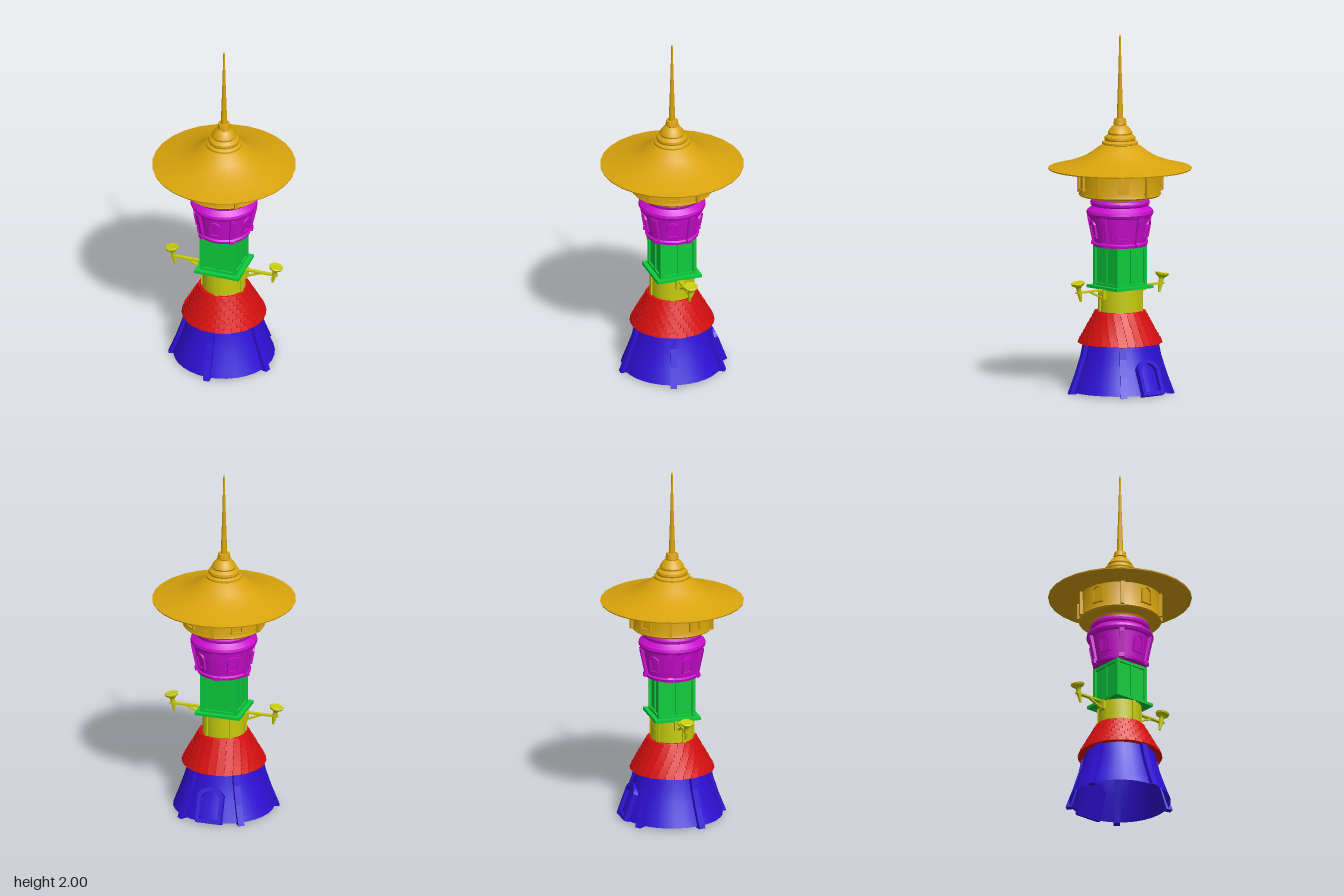
import * as THREE from 'three';
import { mergeGeometries, toCreasedNormals } from 'three/addons/utils/BufferGeometryUtils.js';

const mat = (color) => new THREE.MeshStandardMaterial({ color, side: THREE.DoubleSide });
const BLUE = mat(0x3010d8), RED = mat(0xdd1010), YELLOW = mat(0xc8cc0c);
const GREEN = mat(0x0ccc3c), MAGENTA = mat(0xcc0cd0), GOLD = mat(0xd9a40c);

function add(parent, name, geometry, material) {
  const mesh = new THREE.Mesh(geometry, material);
  mesh.name = name;
  parent.add(mesh);
  return mesh;
}

// Turned solid from [radius, height] pairs, listed from the bottom up
function turned(points, sides = 30) {
  const g = new THREE.LatheGeometry(points.map(([r, y]) => new THREE.Vector2(r, y)), sides);
  return toCreasedNormals(g, 0.5);
}

function box(w, h, d, x, y, z) {
  return new THREE.BoxGeometry(w, h, d).translate(x, y, z);
}

// Upright slab whose outline is drawn in [radius, height], facing +z
function fin(points, width) {
  const shape = new THREE.Shape(points.map(([r, y]) => new THREE.Vector2(r, y)));
  return new THREE.ExtrudeGeometry(shape, { depth: width, bevelEnabled: false })
    .translate(0, 0, -width / 2).rotateY(-Math.PI / 2);
}

// Arch outline standing on y = 0
function arch(Type, half, height, bottom = 0) {
  const s = new Type();
  s.moveTo(-half, bottom);
  s.lineTo(half, bottom);
  s.lineTo(half, height * 0.78);
  s.quadraticCurveTo(half * 0.8, height * 0.95, 0, height);
  s.quadraticCurveTo(-half * 0.8, height * 0.95, -half, height * 0.78);
  s.closePath();
  return s;
}

// Raised arched surround with a recessed panel, leaned and set at a radius
function archedFrame(half, height, border, depth, lean, y, radius) {
  const outer = arch(THREE.Shape, half, height);
  outer.holes.push(arch(THREE.Path, half - border, height - border, border));
  const frame = new THREE.ExtrudeGeometry(outer, { depth, bevelEnabled: false, curveSegments: 5 });
  const panel = new THREE.ExtrudeGeometry(arch(THREE.Shape, half - border / 2, height - border / 2),
    { depth: depth * 0.4, bevelEnabled: false, curveSegments: 5 });
  return mergeGeometries([frame, panel]).rotateX(lean).translate(0, y, radius);
}

// Repeat one geometry around the axis at five equal angles
function five(geometry, offset = 0) {
  return mergeGeometries(Array.from({ length: 5 }, (_, i) =>
    geometry.clone().rotateY(offset + i * Math.PI * 0.4)));
}

function buildBase(root) {
  const g = new THREE.Group();
  g.name = 'base';
  root.add(g);
  add(g, 'baseWall', turned([[0.283, 0.01], [0.26, 0.07], [0.235, 0.14], [0.212, 0.21], [0.195, 0.29]], 32), BLUE);
  add(g, 'baseRibs', five(fin([[0.27, 0], [0.308, 0], [0.265, 0.11], [0.232, 0.21], [0.215, 0.29], [0.18, 0.29]], 0.036)), BLUE);
  add(g, 'doorway', archedFrame(0.075, 0.205, 0.022, 0.035, -0.35, 0, 0.266).rotateY(Math.PI), BLUE);
}

function buildShingles(root) {
  const g = new THREE.Group();
  g.name = 'shingleSkirt';
  root.add(g);
  add(g, 'skirtCore', turned([[0.19, 0.282], [0.228, 0.282], [0.132, 0.455], [0.1, 0.455]], 32), RED);
  const rows = 8, slope = Math.atan2(0.096, 0.173), tiles = [];
  for (let row = 0; row < rows; row++) {
    const t = (row + 0.5) / rows, radius = 0.232 - t * 0.096, y = 0.28 + t * 0.173;
    const count = 30 - row;
    for (let i = 0; i < count; i++) {
      const width = (2 * Math.PI * radius / count) * 0.97;
      const drop = ((i * 7 + row * 3) % 5) * 0.0006;
      tiles.push(new THREE.BoxGeometry(width, 0.027, 0.008)
        .rotateX(-slope + 0.14).translate(0, y - drop, radius)
        .rotateY((i + (row % 2) / 2) / count * Math.PI * 2));
    }
  }
  add(g, 'shingles', mergeGeometries(tiles), RED);
}

function buildLampStage(root) {
  const g = new THREE.Group();
  g.name = 'lampStage';
  root.add(g);
  add(g, 'stageDrum', turned([[0.12, 0.44], [0.12, 0.59], [0, 0.59]], 32), YELLOW);
  add(g, 'drumStrips', five(box(0.022, 0.14, 0.016, 0, 0.52, 0.12)), YELLOW);
  for (const side of [1, -1]) {
    const arm = new THREE.Group();
    arm.name = side > 0 ? 'leftLampArm' : 'rightLampArm';
    arm.rotation.y = side > 0 ? 0 : Math.PI;
    g.add(arm);
    add(arm, 'wallBracket', box(0.022, 0.055, 0.045, 0.127, 0.558, 0), YELLOW);
    add(arm, 'beam', box(0.195, 0.01, 0.02, 0.217, 0.58, 0), YELLOW);
    add(arm, 'brace', new THREE.BoxGeometry(0.1, 0.009, 0.014).rotateZ(0.42).translate(0.175, 0.557, 0), YELLOW);
    // Torch leaning outward
    const torch = turned([[0, 0], [0.006, 0], [0.013, 0.05], [0.013, 0.075], [0.018, 0.085],
      [0.036, 0.098], [0.039, 0.108], [0.034, 0.112], [0, 0.107]], 14);
    add(arm, 'torch', torch.rotateZ(-0.2).translate(0.285, 0.53, 0), YELLOW);
  }
}

function buildSquareRoom(root) {
  const g = new THREE.Group();
  g.name = 'squareRoom';
  root.add(g);
  add(g, 'floorSlab', box(0.262, 0.016, 0.262, 0, 0.59, 0), GREEN);
  add(g, 'roomWalls', box(0.19, 0.23, 0.19, 0, 0.708, 0), GREEN);
  const parts = [];
  for (let i = 0; i < 4; i++) {
    const side = [
      box(0.02, 0.225, 0.02, 0.097, 0.71, 0.097),
      box(0.012, 0.21, 0.01, 0, 0.705, 0.098),
      box(0.19, 0.018, 0.014, 0, 0.812, 0.099),
      box(0.19, 0.014, 0.014, 0, 0.605, 0.099),
    ];
    parts.push(...side.map((p) => p.rotateY(i * Math.PI / 2)));
  }
  add(g, 'postsAndRails', mergeGeometries(parts), GREEN);
}

function buildGallery(root) {
  const g = new THREE.Group();
  g.name = 'gallery';
  root.add(g);
  add(g, 'galleryBody', turned([[0, 0.82], [0.148, 0.82], [0.152, 0.835], [0.142, 0.842], [0.168, 0.985],
    [0.18, 0.99], [0.187, 1.005], [0.184, 1.02], [0.165, 1.035], [0.155, 1.045], [0.163, 1.052],
    [0.166, 1.065], [0.16, 1.08], [0, 1.085]]), MAGENTA);
  add(g, 'galleryPilasters', five(fin([[0.13, 0.822], [0.162, 0.822], [0.163, 0.84], [0.157, 0.85],
    [0.183, 0.97], [0.185, 0.99], [0.15, 0.99]], 0.03), Math.PI / 5), MAGENTA);
  add(g, 'galleryWindows', five(archedFrame(0.032, 0.1, 0.008, 0.014, 0.18, 0.87, 0.142)), MAGENTA);
}

function buildLookout(root) {
  const g = new THREE.Group();
  g.name = 'lookout';
  root.add(g);
  add(g, 'lookoutDrum', turned([[0, 1.082], [0.155, 1.082], [0.16, 1.092], [0.222, 1.1], [0.23, 1.108],
    [0.225, 1.122], [0.229, 1.25], [0, 1.25]]), GOLD);
  add(g, 'lookoutPilasters', five(box(0.02, 0.14, 0.022, 0, 1.182, 0.231), Math.PI / 5), GOLD);
  add(g, 'lookoutWindows', five(archedFrame(0.034, 0.105, 0.009, 0.02, 0, 1.137, 0.219)), GOLD);
  // Broad flared roof with stepped rings and a mast
  add(g, 'roof', turned([[0.2, 1.248], [0.398, 1.249], [0.4, 1.256], [0.33, 1.272], [0.26, 1.294], [0.2, 1.318],
    [0.155, 1.346], [0.125, 1.37], [0.094, 1.388]], 28), GOLD);
  add(g, 'roofRings', turned([[0.08, 1.38], [0.1, 1.39], [0.1, 1.4], [0.084, 1.41], [0.087, 1.418],
    [0.085, 1.43], [0.066, 1.444], [0.069, 1.452], [0.065, 1.462], [0.048, 1.485], [0.033, 1.496],
    [0.037, 1.5], [0.032, 1.53], [0.02, 1.532], [0.018, 1.525]], 24), GOLD);
  add(g, 'mast', turned([[0.019, 1.52], [0.0145, 1.64], [0.009, 1.81], [0.004, 2], [0, 2]], 12), GOLD);
}

export function createModel() {
  const root = new THREE.Group();
  root.name = 'tower';
  buildBase(root);
  buildShingles(root);
  buildLampStage(root);
  buildSquareRoom(root);
  buildGallery(root);
  buildLookout(root);
  return root;
}
